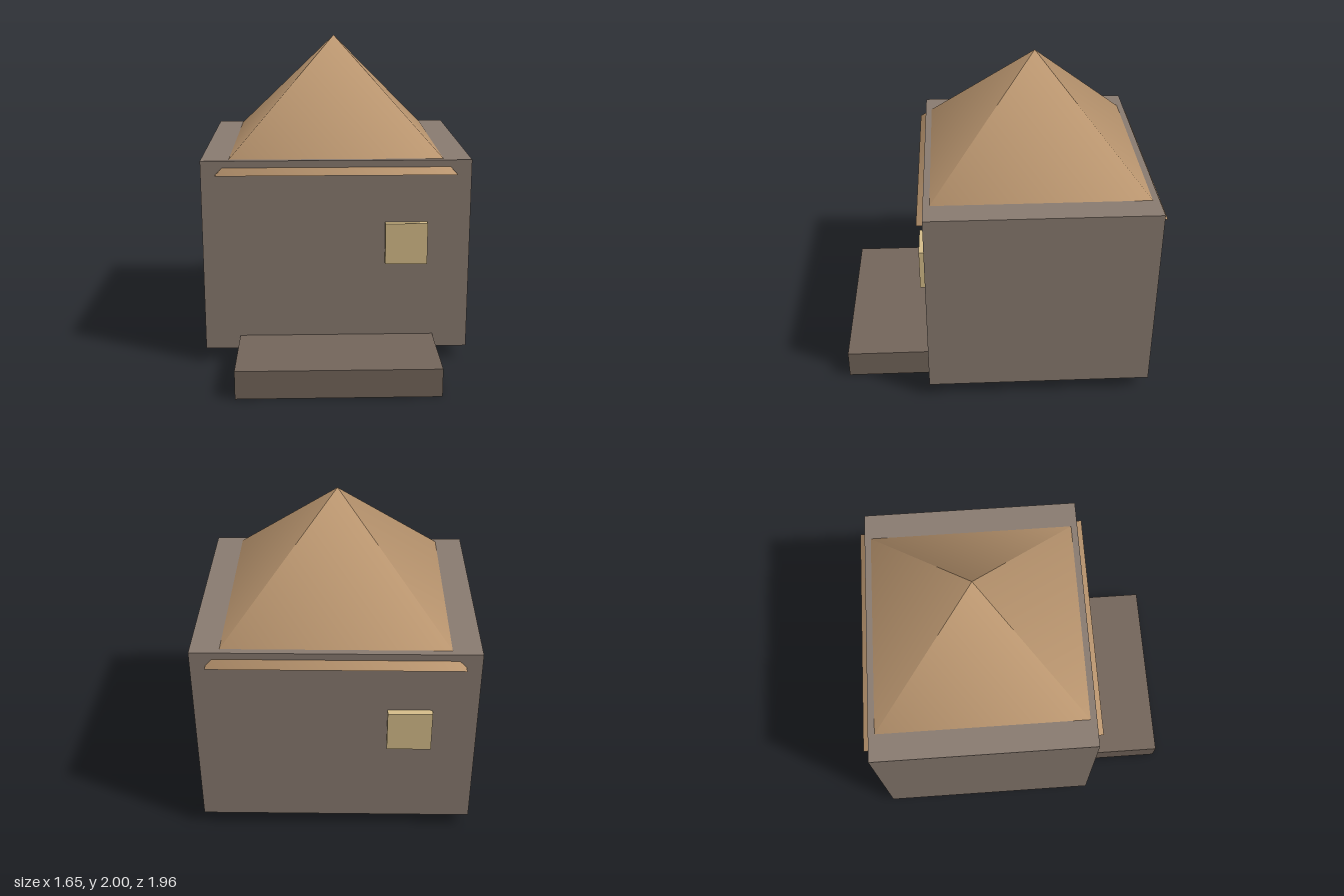
import * as THREE from 'three';

export function createModel() {
  const house = new THREE.Group();
  house.name = 'house';
  const centreZ = -0.24;

  const add = (name, geometry, material, x, y, z) => {
    const mesh = new THREE.Mesh(geometry, material);
    mesh.name = name;
    mesh.position.set(x, y, z);
    house.add(mesh);
    return mesh;
  };
  const paint = (color) => new THREE.MeshStandardMaterial({ color });
  const stone = paint(0x8b7d72);
  const step = paint(0x75675c);
  const thatch = paint(0xb8946e);
  const glow = paint(0xd9c08c);

  // Walls, raised slightly off the ground
  add('walls', new THREE.BoxGeometry(1.65, 1.215, 1.39), stone, 0, 0.6975, centreZ);

  // Pyramid roof whose eaves poke through the front and back walls
  const roof = add('roof', new THREE.ConeGeometry(0.735 * Math.SQRT2, 0.78, 4), thatch, 0, 1.61, centreZ);
  roof.rotation.y = Math.PI / 4;

  // Broad front step
  add('frontStep', new THREE.BoxGeometry(1.215, 0.175, 0.695), step, 0, 0.0875, 0.6325);

  // One window on the front, one diagonally opposite on the back
  for (const [name, side] of [['frontWindow', 1], ['backWindow', -1]]) {
    add(name, new THREE.BoxGeometry(0.26, 0.26, 0.087), glow, side * 0.43, 0.785, centreZ + side * 0.6925);
  }

  return house;
}
